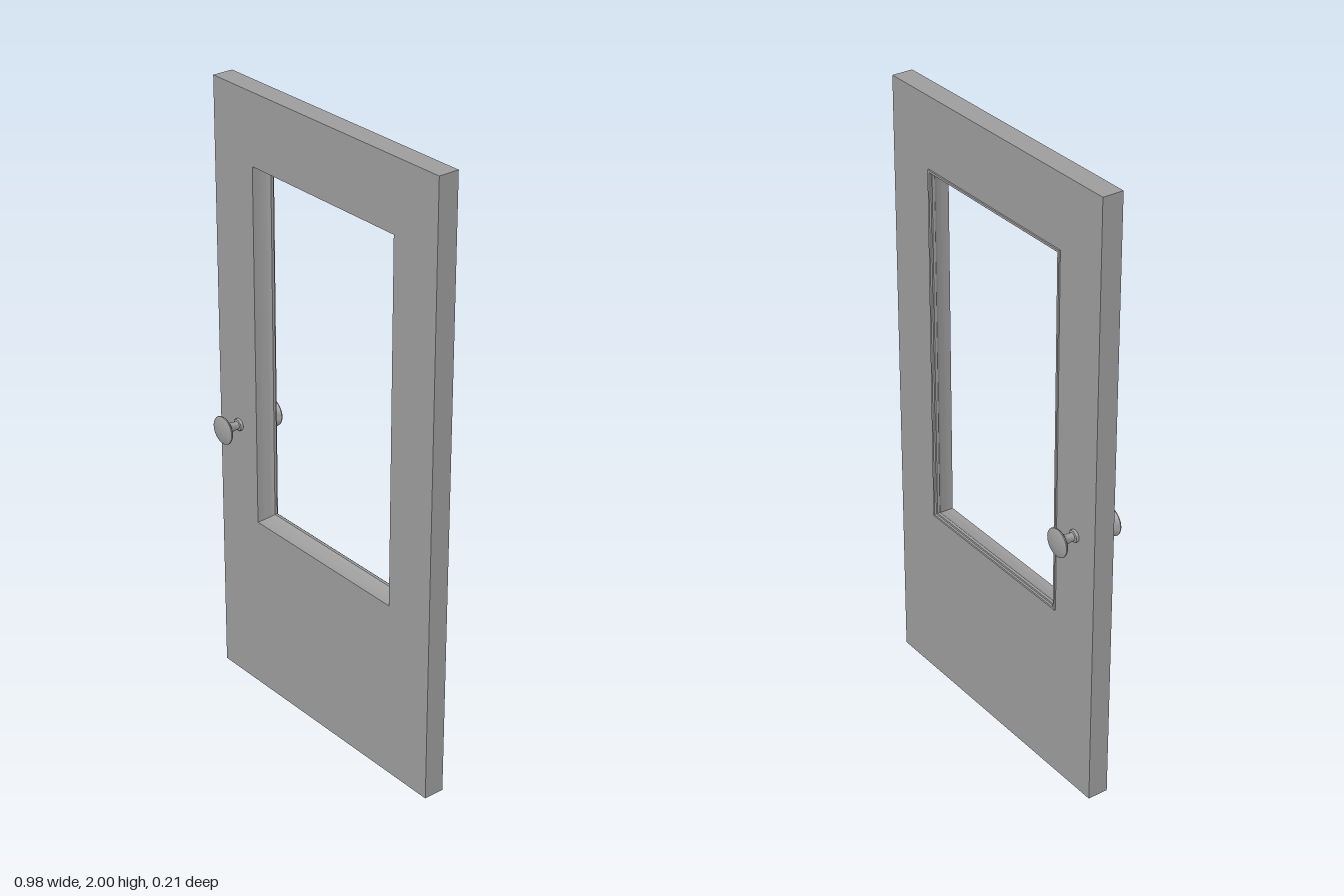
import * as THREE from 'three';
import { toCreasedNormals } from 'three/addons/utils/BufferGeometryUtils.js';

const W = 0.49, H = 2, T = 0.034;                  // half width, height, half thickness
const WIN = { x: 0.312, y0: 0.592, y1: 1.773 };    // window opening
const material = new THREE.MeshStandardMaterial({ color: 0x9d9d9d });

function rectangle(PathType, x, y0, y1) {
  const p = new PathType();
  p.moveTo(-x, y0);
  p.lineTo(x, y0);
  p.lineTo(x, y1);
  p.lineTo(-x, y1);
  p.closePath();
  return p;
}

// Sweep a profile of [inset, z] points around the window with mitred corners
function mitredFrame(profile) {
  const corner = (k, [d, z]) => [
    (k === 0 || k === 3 ? -1 : 1) * (WIN.x - d),
    k < 2 ? WIN.y0 + d : WIN.y1 - d,
    z,
  ];
  const positions = [];
  for (let k = 0; k < 4; k++) {
    const n = (k + 1) % 4;
    for (let i = 0; i < profile.length - 1; i++) {
      const a = corner(k, profile[i]), b = corner(n, profile[i]);
      const c = corner(n, profile[i + 1]), d = corner(k, profile[i + 1]);
      positions.push(...a, ...b, ...c, ...a, ...c, ...d);
    }
  }
  const geometry = new THREE.BufferGeometry();
  geometry.setAttribute('position', new THREE.Float32BufferAttribute(positions, 3));
  return toCreasedNormals(geometry, 0.6);
}

export function createModel() {
  const model = new THREE.Group();
  model.name = 'door';
  const add = (geometry, name) => {
    const mesh = new THREE.Mesh(geometry, material);
    mesh.name = name;
    model.add(mesh);
    return mesh;
  };

  // Door slab with window opening
  const outline = rectangle(THREE.Shape, W, 0, H);
  outline.holes.push(rectangle(THREE.Path, WIN.x, WIN.y0, WIN.y1));
  const slab = new THREE.ExtrudeGeometry(outline, { depth: 2 * T, bevelEnabled: false });
  slab.translate(0, 0, -T);
  add(slab, 'doorSlab');

  // Window moulding: hollow curve toward the front, thin raised lip on the back
  const profile = [];
  for (let i = 0; i <= 8; i++) {
    const a = (i / 8) * 1.3;
    profile.push([0.0005 + 0.017 * (1 - Math.cos(a)), 0.033 - 0.058 * Math.sin(a)]);
  }
  profile.push([0.013, -0.032], [0.008, -0.033], [0.007, -0.039], [0, -0.039], [0, -0.03]);
  add(mitredFrame(profile), 'windowMoulding');

  // Matching knobs on both faces, lathed from [radius, distance from door centre]
  const knobProfile = [
    [0.02, 0.03], [0.02, 0.038], [0.018, 0.042], [0.013, 0.044], [0.0125, 0.047],
    [0.014, 0.06], [0.0165, 0.071], [0.018, 0.074], [0.027, 0.08], [0.037, 0.087],
    [0.044, 0.092], [0.046, 0.095], [0.0455, 0.098], [0.042, 0.1],
    [0.03, 0.103], [0.015, 0.105], [0, 0.106],
  ].map(([r, z]) => new THREE.Vector2(r, z));
  const knobGeometry = toCreasedNormals(new THREE.LatheGeometry(knobProfile, 32), 0.6);
  for (const side of [1, -1]) {
    const knob = add(knobGeometry, side > 0 ? 'frontKnob' : 'backKnob');
    knob.position.set(-0.398, 0.9, 0);
    knob.rotation.x = side * Math.PI / 2;
  }

  return model;
}
